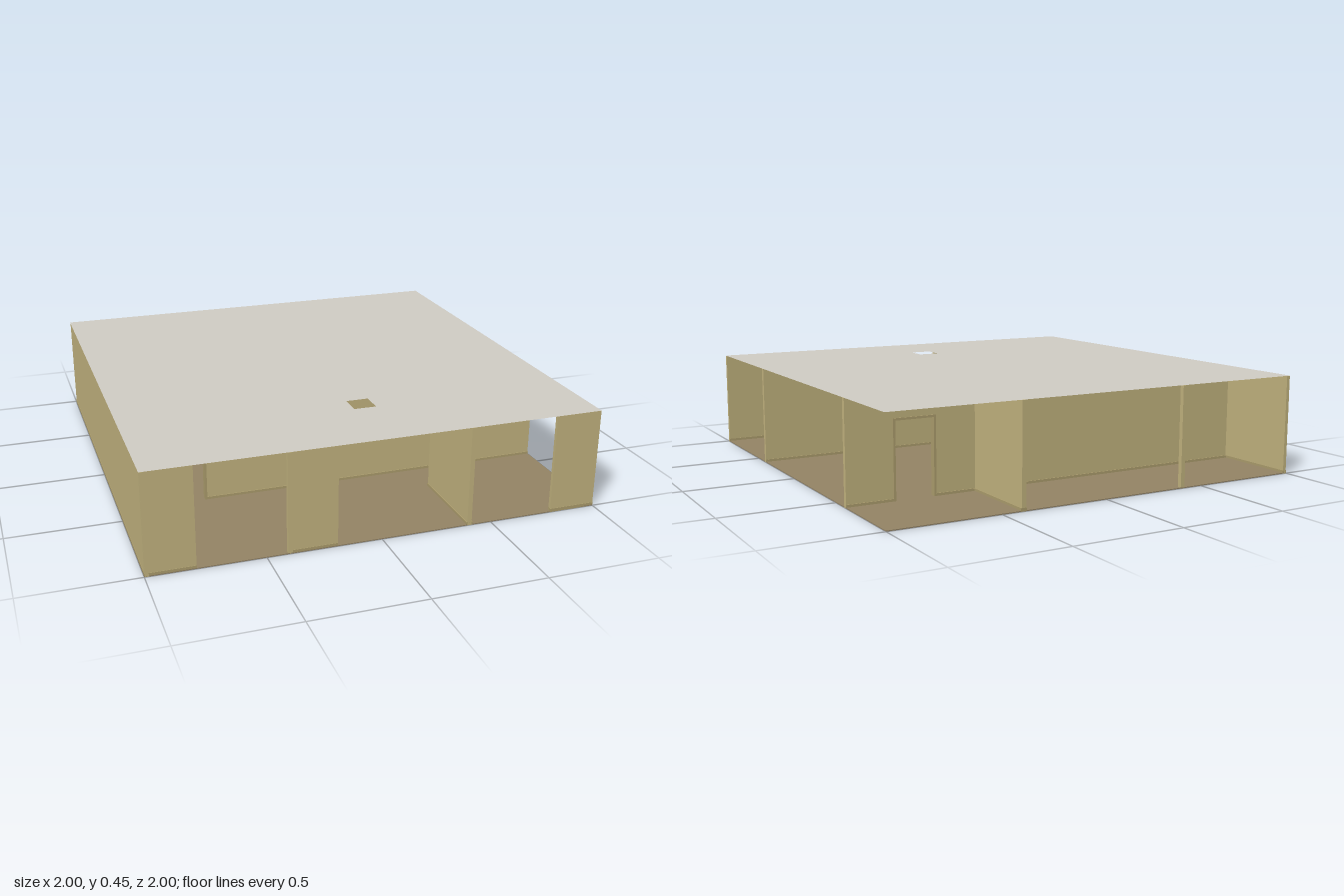
import * as THREE from 'three';

const mat = (name, color, side = THREE.FrontSide) => {
  const m = new THREE.MeshStandardMaterial({ color, side });
  m.name = name;
  return m;
};

export function createModel() {
  const wallMat = mat('tan wall', 0xc4b580);
  const trimMat = mat('tan trim', 0xae9f6e);
  const floorMat = mat('brown floor', 0x958566);
  const ceilingMat = mat('pale ceiling', 0xd2cec6, THREE.DoubleSide);
  const switchMat = mat('white switch', 0xf2f2ee);

  const H = 0.45, DOOR_H = 0.35, T = 0.02, BASE_H = 0.015;
  const model = new THREE.Group();
  model.name = 'floorOfRooms';

  const box = (parent, name, material, w, h, d, x, y, z) => {
    const mesh = new THREE.Mesh(new THREE.BoxGeometry(w, h, d), material);
    mesh.name = name;
    mesh.position.set(x, y, z);
    parent.add(mesh);
  };

  // A wall along x or z at offset `at`, from a to b, with an optional door [d0, d1]
  function wall(name, axis, at, a, b, { door = null, t = T, trim = 0.008 } = {}) {
    const g = new THREE.Group();
    g.name = name;
    model.add(g);
    const span = (part, material, s, e, y0, y1, thick) => {
      const len = e - s, mid = (s + e) / 2, h = y1 - y0, y = (y0 + y1) / 2;
      if (axis === 'x') box(g, part, material, len, h, thick, mid, y, at);
      else box(g, part, material, thick, h, len, at, y, mid);
    };
    const pieces = door ? [[a, door[0]], [door[1], b]] : [[a, b]];
    for (const [s, e] of pieces) {
      span('wallPanel', wallMat, s, e, 0, H, t);
      span('baseboard', trimMat, s, e, 0, BASE_H, t + trim);
    }
    if (door) {
      const [s, e] = door, f = 0.01;
      span('wallOverDoor', wallMat, s, e, DOOR_H, H, t);
      span('doorJamb', trimMat, s, s + f, 0, DOOR_H, t + trim);
      span('doorJamb', trimMat, e - f, e, 0, DOOR_H, t + trim);
      span('doorHead', trimMat, s + f, e - f, DOOR_H - f, DOOR_H, t + trim);
    }
  }

  // Floor slab
  box(model, 'floor', floorMat, 2, 0.004, 2, 0, 0.002, 0);

  // Ceiling sheet with a square hatch opening
  const sheet = new THREE.Shape([[-1, -1], [1, -1], [1, 1], [-1, 1]].map(p => new THREE.Vector2(...p)));
  sheet.holes.push(new THREE.Path(
    [[0, -0.65], [0, -0.55], [0.1, -0.55], [0.1, -0.65]].map(p => new THREE.Vector2(...p))));
  const ceiling = new THREE.Mesh(new THREE.ShapeGeometry(sheet).rotateX(-Math.PI / 2), ceilingMat);
  ceiling.name = 'ceiling';
  ceiling.position.y = H + 0.001;
  model.add(ceiling);

  // Outer walls: one solid side and three short front panels
  const outer = { t: 0.016, trim: 0.004 };
  wall('sideWall', 'z', -0.99, -1, 1, outer);
  for (const [a, b] of [[-1, -0.79], [-0.39, -0.195], [0.79, 1]]) wall('frontPanel', 'x', 0.99, a, b, outer);

  // Long inner walls, each with a doorway
  wall('frontRoomWall', 'x', 0.4, -0.98, 1, { door: [-0.8, -0.605] });
  wall('backRoomWall', 'x', -0.6, -0.98, 1, { door: [0.595, 0.79] });

  // Cross walls
  wall('hallCrossWall', 'z', -0.4, -0.59, 0.39, { door: [0.01, 0.2] });
  wall('frontCrossWall', 'z', 0.4, 0.59, 1);
  wall('backCrossWall', 'z', 0.4, -1, -0.61);

  // Slim posts on the open edges
  for (const z of [0.99, -0.99]) box(model, 'post', wallMat, T, H, T, -0.4, H / 2, z);

  // Light switches
  box(model, 'lightSwitch', switchMat, 0.014, 0.014, 0.006, -0.555, 0.25, 0.412);
  box(model, 'lightSwitch', switchMat, 0.006, 0.014, 0.014, -0.98, 0.25, 0.05);

  return model;
}
